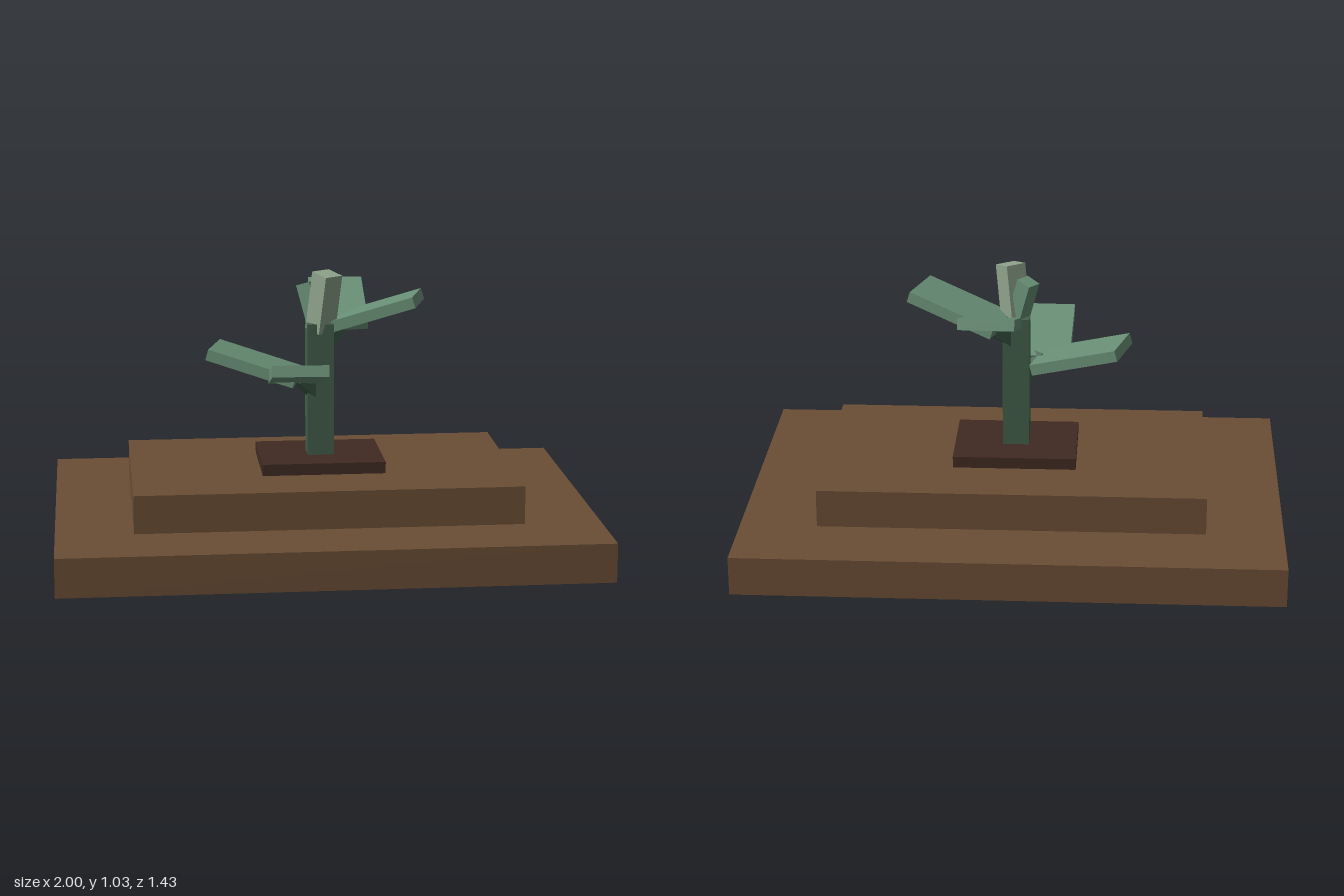
import * as THREE from 'three';

const mat = (name, color) => Object.assign(new THREE.MeshStandardMaterial({ color }), { name });

export function createModel() {
  const root = new THREE.Group();
  root.name = 'plantOnSteppedBase';
  const earth = mat('earth brown', 0x6b4e35);
  const soil = mat('dark soil', 0x402a22);
  const stemGreen = mat('stem green', 0x425f4b);
  const leafGreen = mat('leaf green', 0x688f75);
  const budGreen = mat('pale bud green', 0x8ea48c);

  const add = (name, w, h, d, material) => {
    const mesh = new THREE.Mesh(new THREE.BoxGeometry(w, h, d), material);
    mesh.name = name;
    root.add(mesh);
    return mesh;
  };

  // upright block resting on height y
  const block = (name, w, h, d, y, material) => {
    add(name, w, h, d, material).position.y = y + h / 2;
  };

  // slanted block running between two points
  const beam = (name, from, to, width, thickness, material) => {
    const a = new THREE.Vector3(...from);
    const b = new THREE.Vector3(...to);
    const mesh = add(name, width, thickness, a.distanceTo(b), material);
    mesh.position.copy(a).lerp(b, 0.5);
    mesh.lookAt(b);
  };

  // stepped mound and stem
  block('lowerStep', 2, 0.145, 1.43, 0, earth);
  block('upperStep', 1.43, 0.142, 0.855, 0.145, earth);
  block('soilPatch', 0.46, 0.043, 0.37, 0.287, soil);
  block('stem', 0.1, 0.5, 0.1, 0.33, stemGreen);

  // short diagonal twigs under each pair of leaves
  beam('lowerTwig', [0, 0.55, 0], [-0.09, 0.64, 0.08], 0.05, 0.05, stemGreen);
  beam('upperTwig', [0, 0.72, 0], [0.09, 0.81, -0.08], 0.05, 0.05, stemGreen);

  // two lower and two upper leaves
  const leaves = [
    ['lowerFrontLeaf', [-0.095, 0.63, 0.06], [-0.105, 0.725, 0.384]],
    ['lowerRightLeaf', [-0.082, 0.63, 0.048], [-0.4, 0.725, -0.04]],
    ['upperLeftLeaf', [0.055, 0.812, -0.068], [0.368, 0.92, 0.027]],
    ['upperBackLeaf', [0.083, 0.812, -0.035], [0.093, 0.92, -0.361]],
  ];
  for (const [name, from, to] of leaves) beam(name, from, to, 0.206, 0.042, leafGreen);

  // buds leaning apart at the top
  beam('largeBud', [0.002, 0.8, 0.004], [0.025, 1.02, 0.037], 0.08, 0.08, budGreen);
  beam('smallBud', [0, 0.8, 0], [-0.045, 0.975, -0.035], 0.06, 0.06, leafGreen);

  return root;
}
